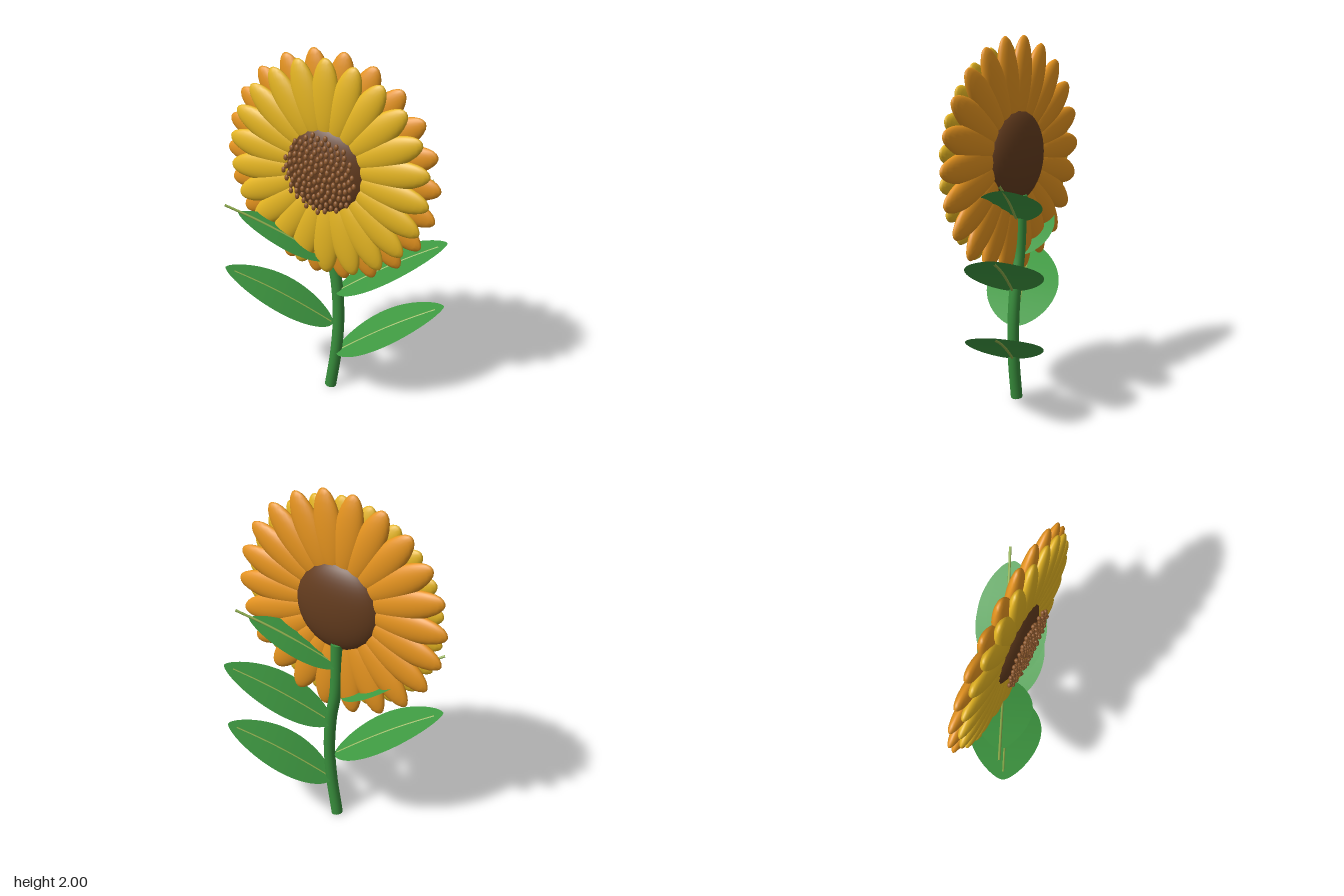
import * as THREE from 'three';

const mat = (name, color, side = THREE.FrontSide) => {
  const m = new THREE.MeshStandardMaterial({ color, side });
  m.name = name;
  return m;
};

const HEAD_Y = 1.368;

export function createModel() {
  const frontGold = mat('golden yellow', 0xe6b622);
  const backOrange = mat('petal orange', 0xe6941f);
  const discBrown = mat('disc brown', 0x643c1e);
  const seedBrown = mat('seed brown', 0x8f5a2e);
  const stemGreen = mat('stem green', 0x388e3c);
  const leafGreen = mat('leaf green', 0x3f9a42, THREE.DoubleSide);
  const ribGreen = mat('rib green', 0x8fae4c);

  const model = new THREE.Group();
  model.name = 'sunflower';
  const add = (parent, name, geometry, material) => {
    const mesh = new THREE.Mesh(geometry, material);
    mesh.name = name;
    parent.add(mesh);
    return mesh;
  };

  // Curved stem with closed ends
  const curve = new THREE.CatmullRomCurve3([
    [0, 0.005, 0], [0.035, 0.25, -0.004], [0.046, 0.47, -0.01],
    [0.03, 0.68, -0.015], [0, 0.85, -0.018], [-0.012, 1.16, -0.022],
  ].map((p) => new THREE.Vector3(...p)));
  const R = 0.033;
  add(model, 'stem', new THREE.TubeGeometry(curve, 48, R, 16), stemGreen);
  for (const t of [0, 1]) {
    const cap = add(model, 'stemCap', new THREE.CircleGeometry(R, 16), stemGreen);
    cap.position.copy(curve.getPoint(t));
    const out = curve.getTangent(t).multiplyScalar(t ? 1 : -1);
    cap.quaternion.setFromUnitVectors(new THREE.Vector3(0, 0, 1), out);
  }

  // Flower head: brown disc
  const head = new THREE.Group();
  head.name = 'flowerHead';
  head.position.y = HEAD_Y;
  model.add(head);
  const disc = add(head, 'disc', new THREE.SphereGeometry(1, 40, 24), discBrown);
  disc.scale.set(0.26, 0.26, 0.1);
  disc.position.z = 0.022;

  // Two rings of flattened ellipsoid petals, the front one offset by half a step
  const ball = new THREE.SphereGeometry(1, 24, 16);
  const N = 22;
  const petalRing = (name, material, outer, half, z, width, thick, offset) => {
    const ring = new THREE.Group();
    ring.name = name;
    for (let i = 0; i < N; i++) {
      const a = ((i + offset) / N) * Math.PI * 2;
      const petal = add(ring, 'petal', ball, material);
      petal.scale.set(half, width, thick);
      petal.position.set(Math.cos(a) * (outer - half), Math.sin(a) * (outer - half), z);
      petal.rotation.z = a;
    }
    head.add(ring);
  };
  petalRing('backPetals', backOrange, 0.64, 0.24, 0.012, 0.083, 0.04, 0);
  petalRing('frontPetals', frontGold, 0.6, 0.22, 0.05, 0.08, 0.038, 0.5);

  // Seeds in a golden-angle spiral on a flat plane before the disc
  const seeds = new THREE.Group();
  seeds.name = 'seeds';
  const seedBall = new THREE.SphereGeometry(1, 10, 8);
  const count = 130;
  for (let i = 0; i < count; i++) {
    const r = 0.215 * Math.sqrt((i + 0.5) / count);
    const a = i * 2.39996;
    const seed = add(seeds, 'seed', seedBall, seedBrown);
    seed.scale.set(0.012, 0.017, 0.011);
    seed.position.set(r * Math.cos(a), r * Math.sin(a), 0.126);
  }
  head.add(seeds);

  // Leaf: plane widened along its length, rising and slightly arched
  const LENGTH = 0.6, RISE = 0.325;
  const spine = (t) => RISE * t + 0.02 * Math.sin(Math.PI * t);
  const leafGeo = new THREE.PlaneGeometry(1, 1, 32, 6);
  const pos = leafGeo.attributes.position;
  for (let i = 0; i < pos.count; i++) {
    const s = pos.getX(i) + 0.5;
    const t = (1 - Math.cos(Math.PI * s)) / 2;
    const w = 0.205 * Math.pow(Math.max(0, Math.sin(Math.PI * Math.pow(t, 0.85))), 0.65);
    pos.setXYZ(i, LENGTH * t, spine(t), -2 * pos.getY(i) * w);
  }
  leafGeo.computeVertexNormals();

  // Midrib under the leaf, of the same length on every leaf
  const ribPath = new THREE.CatmullRomCurve3([0.02, 0.25, 0.5, 0.7, 0.92].map(
    (t) => new THREE.Vector3(LENGTH * t, spine(t) - 0.004, 0)));
  const ribGeo = new THREE.TubeGeometry(ribPath, 20, 0.007, 8);

  // Leaves alternate up the stem; the top two are smaller
  [0.24, 0.425, 0.63, 0.82, 1.01].forEach((y, i) => {
    const leaf = new THREE.Group();
    leaf.name = i % 2 ? 'rightLeaf' : 'leftLeaf';
    const base = curve.getPoint(0);
    for (let t = 0; t <= 1 && base.y < y; t += 0.005) curve.getPoint(t, base);
    leaf.position.set(base.x - (i % 2 ? 0.03 : 0), y, 0);
    leaf.rotation.y = 0.43 + (i % 2 ? Math.PI : 0);
    add(leaf, 'leafBlade', leafGeo, leafGreen).scale.setScalar(i > 2 ? 0.8 : 1);
    add(leaf, 'leafRib', ribGeo, ribGreen);
    model.add(leaf);
  });

  return model;
}
